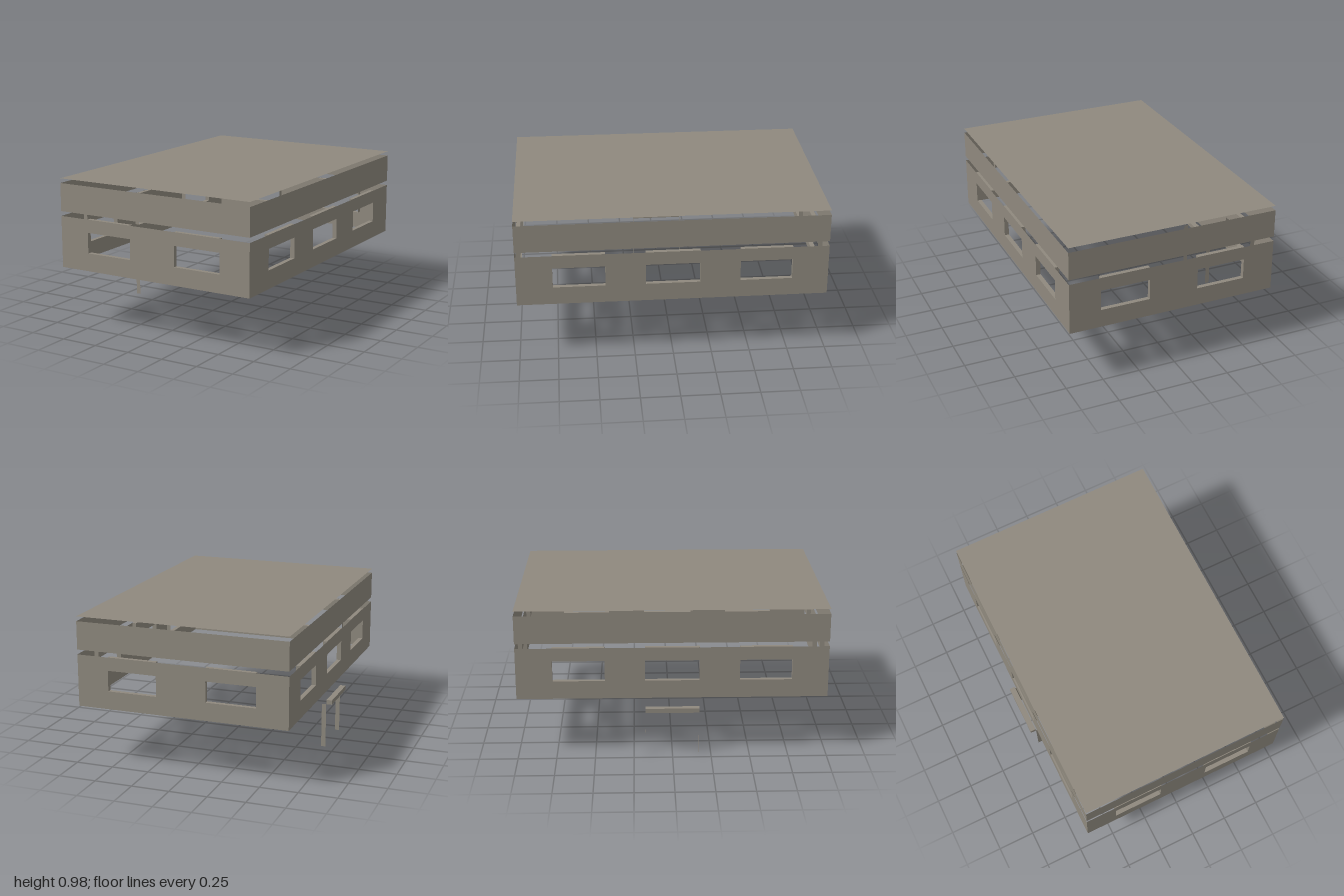
import * as THREE from 'three';

const X0 = -0.685, X1 = 0.72, D = 0.03;      // building sides, reveal depth
const CX = (X0 + X1) / 2, W = X1 - X0;
const WIN_LOW = 0.51, WIN_TOP = 0.646;

export function createModel() {
  const model = new THREE.Group();
  const stone = new THREE.MeshStandardMaterial({ color: 0x8f897e, side: THREE.DoubleSide });
  stone.name = 'warm grey';

  const add = (parent, name, geo, x, y, z) => {
    const m = new THREE.Mesh(geo, stone);
    m.name = name;
    m.position.set(x, y, z);
    parent.add(m);
    return m;
  };

  // One storey sheet in its own plane, outward along local z, with window openings
  function wall(name, width, low, high, windows) {
    const g = new THREE.Group();
    g.name = name;
    const s = new THREE.Shape();
    s.moveTo(-width / 2, low).lineTo(width / 2, low).lineTo(width / 2, high).lineTo(-width / 2, high).closePath();
    for (const [a, b] of windows) {
      const h = new THREE.Path();
      h.moveTo(a, WIN_LOW).lineTo(a, WIN_TOP).lineTo(b, WIN_TOP).lineTo(b, WIN_LOW).closePath();
      s.holes.push(h);
      // Sill, jambs and lintel, set inward
      const w = b - a, mid = (a + b) / 2, h2 = WIN_TOP - WIN_LOW;
      add(g, 'windowSill', new THREE.PlaneGeometry(w, D).rotateX(-Math.PI / 2), mid, WIN_LOW, -D / 2);
      for (const x of [a, b])
        add(g, 'windowJamb', new THREE.PlaneGeometry(D, h2).rotateY(Math.PI / 2), x, WIN_LOW + h2 / 2, -D / 2)
          .rotation.y = x === b ? Math.PI : 0;
      add(g, 'windowLintel', new THREE.BoxGeometry(w, high - WIN_TOP, D - 0.002),
        mid, (high + WIN_TOP) / 2, -D / 2 - 0.001);
    }
    add(g, 'wallSheet', new THREE.ShapeGeometry(s), 0, 0, 0);
    model.add(g);
    return g;
  }

  // Two separate storeys: windowed lower ring, plain upper ring
  const endWindows = [[-0.475, -0.147], [0.183, 0.511]].map(p => p.map(v => v - CX));
  const sideWindows = [[-0.767, -0.432], [-0.174, 0.174], [0.432, 0.767]];
  const storeys = [['lower', 0.391, 0.733, true], ['upper', 0.765, 0.95, false]];
  for (const [label, low, high, open] of storeys) {
    const ends = open ? endWindows : [], sides = open ? sideWindows : [];
    wall(label + 'FrontWall', W, low, high, ends).position.set(CX, 0, 1);
    const back = wall(label + 'BackWall', W, low, high, ends.map(([a, b]) => [-b, -a]));
    back.position.set(CX, 0, -1);
    back.rotation.y = Math.PI;
    for (const [name, x, r] of [['LeftWall', X1, 1], ['RightWall', X0, -1]]) {
      const side = wall(label + name, 2, low, high, sides);
      side.position.x = x;
      side.rotation.y = r * Math.PI / 2;
    }
  }

  // Flat roof sheet floating above the walls
  add(model, 'roof', new THREE.PlaneGeometry(W, 2).rotateX(-Math.PI / 2), CX, 0.981, 0);

  // Door surround: two thin jambs and a lintel
  for (const z of [-0.173, 0.173])
    add(model, 'doorJamb', new THREE.PlaneGeometry(0.03, 0.3), -0.67, 0.15, z);
  add(model, 'doorLintel', new THREE.BoxGeometry(0.038, 0.03, 0.346), -0.705, 0.315, 0);

  return model;
}
